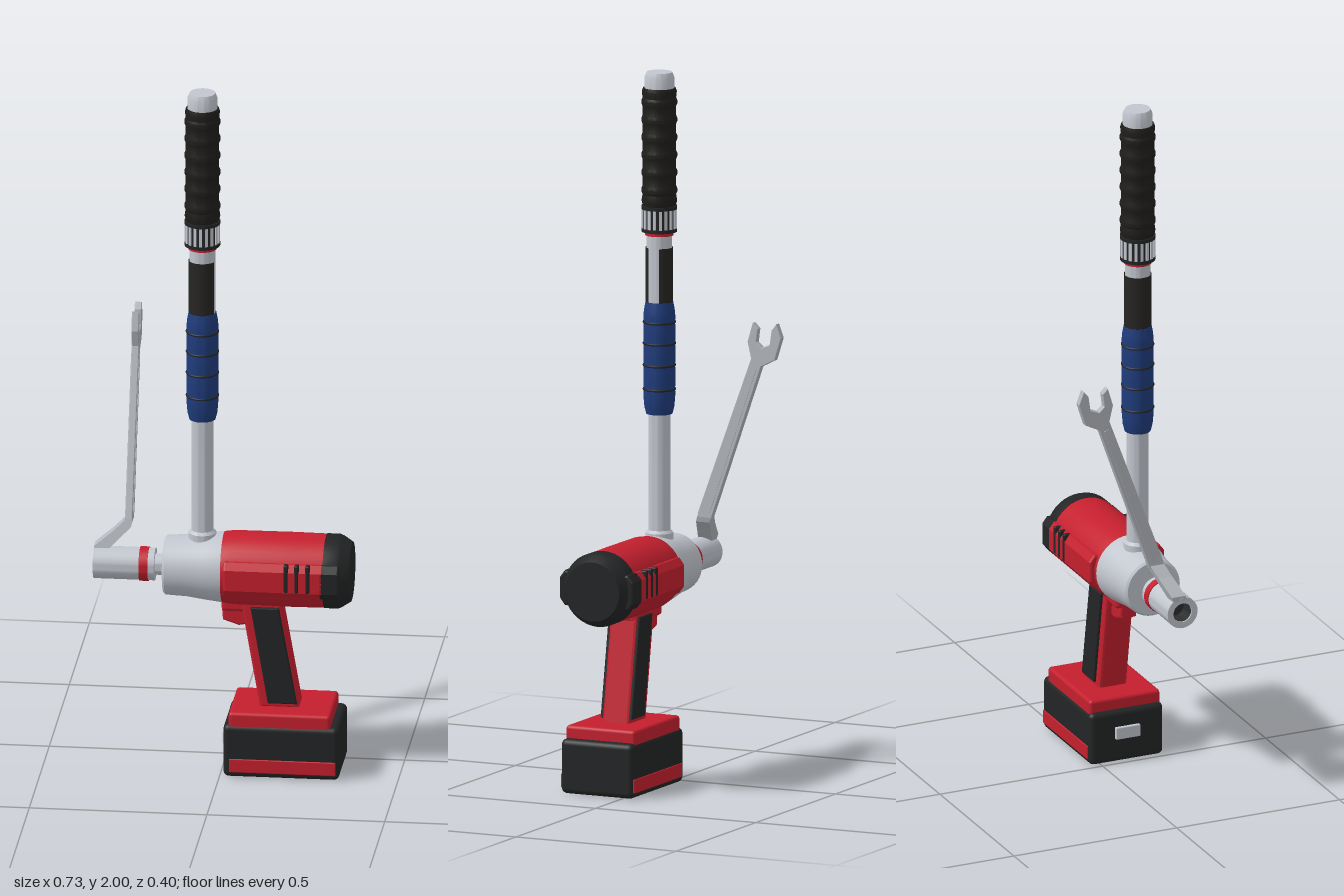
import * as THREE from 'three';
import { toCreasedNormals } from 'three/addons/utils/BufferGeometryUtils.js';
import { RoundedBoxGeometry } from 'three/addons/geometries/RoundedBoxGeometry.js';

const mat = (name, color, side = THREE.FrontSide) => {
  const m = new THREE.MeshStandardMaterial({ color, side });
  m.name = name;
  return m;
};

export function createModel() {
  const red = mat('red plastic', 0xc41f2e);
  const grey = mat('light grey metal', 0xc2c6ce);
  const armGrey = mat('arm grey metal', 0xb4b8be);
  const black = mat('black plastic', 0x232425);
  const rubber = mat('grip rubber', 0x1f1e1b);
  const blue = mat('blue grip', 0x1f3c7c);

  const root = new THREE.Group();
  root.name = 'torqueTool';
  const CY = 0.59, CZ = 0.08, TX = -0.06;

  const add = (name, geo, material, x = 0, y = 0, z = 0, parent = root) => {
    const m = new THREE.Mesh(geo, material);
    m.name = name;
    m.position.set(x, y, z);
    parent.add(m);
    return m;
  };
  // Turned part: points are [radius, distance along the axis]
  const lathe = (pts, seg = 40) => toCreasedNormals(
    new THREE.LatheGeometry(pts.map(p => new THREE.Vector2(p[0], p[1])), seg), 0.5);
  const turnedX = (name, pts, material) => {
    const m = add(name, lathe(pts), material, 0, CY, CZ);
    m.rotation.z = -Math.PI / 2;
    return m;
  };
  const turnedY = (name, pts, material) => add(name, lathe(pts), material, TX, 0, CZ);
  const extrude = (pts, depth, bevel = 0) => {
    const g = new THREE.ExtrudeGeometry(
      new THREE.Shape(pts.map(p => new THREE.Vector2(p[0], p[1]))),
      { depth: depth - 2 * bevel, bevelEnabled: bevel > 0, bevelSize: bevel,
        bevelThickness: bevel, bevelOffset: -bevel, bevelSegments: 2 });
    return g.translate(0, 0, bevel - depth / 2);
  };
  const box = (w, h, d, r) => new RoundedBoxGeometry(w, h, d, 3, r);

  // Motor housing along x
  turnedX('motorHousing', [[0, 0], [0.1, 0], [0.104, 0.03], [0.105, 0.2], [0.104, 0.29], [0, 0.29]], red);
  turnedX('rearCap', [[0, 0.288], [0.105, 0.288], [0.105, 0.325], [0.101, 0.335], [0.084, 0.361], [0, 0.361]], black);
  turnedX('gearNose', [[0, -0.166], [0.078, -0.166], [0.084, -0.16], [0.087, -0.1],
    [0.094, -0.05], [0.1, 0], [0.1, 0.009], [0, 0.009]], grey);
  turnedX('driveNeck', [[0.03, -0.2], [0.03, -0.16]], grey);
  turnedX('socket', [[0, -0.31], [0.028, -0.31], [0.028, -0.364], [0.046, -0.364],
    [0.046, -0.192], [0, -0.192]], grey);
  turnedX('socketBore', [[0, -0.311], [0.0275, -0.311], [0.0275, -0.36]], black).material = mat('bore black', 0x2c2d2f, THREE.DoubleSide);
  turnedX('socketBand', [[0.045, -0.235], [0.0485, -0.235], [0.0485, -0.21], [0.045, -0.21]], red);

  // Raised flanks on both sides of the housing
  const flank = len => extrude([[-0.115, -0.03], [-0.1, -0.05], [0.1, -0.05], [0.115, -0.03],
    [0.115, 0.03], [0.1, 0.05], [-0.1, 0.05], [-0.115, 0.03]], len, 0.006).rotateY(Math.PI / 2);
  add('sideFlanks', flank(0.282), red, 0.151, CY, CZ);
  add('rearFlanks', flank(0.06), black, 0.306, CY, CZ);
  for (const s of [-1, 1]) for (const x of [0.187, 0.217, 0.248])
    add('vent', box(0.013, 0.082, 0.022, 0.005), black, x, 0.601, CZ + s * 0.106);

  // Pistol handle
  add('handle', extrude([[0.055, 0.52], [0.165, 0.52], [0.165, 0.485], [0.217, 0.19], [0.106, 0.19], [0.055, 0.485]], 0.085, 0.008), red, 0, 0, CZ);
  for (const s of [-1, 1])
    add('handlePanel', extrude([[0.08, 0.489], [0.16, 0.489], [0.211, 0.205], [0.129, 0.205]], 0.016, 0.004),
      black, 0, 0, CZ + s * 0.042);
  add('triggerGuard', box(0.17, 0.04, 0.08, 0.012), red, 0.082, 0.49, CZ);
  add('trigger', extrude([[-0.005, 0.5], [0.065, 0.5], [0.07, 0.43], [0.045, 0.425], [0, 0.44]], 0.05, 0.006), red, 0, 0, CZ);

  // Battery
  add('batteryMount', box(0.287, 0.05, 0.217, 0.01), red, 0.168, 0.17, CZ);
  add('battery', box(0.326, 0.155, 0.226, 0.016), black, 0.173, 0.082, CZ);
  for (const s of [-1, 1])
    add('batteryStripe', box(0.3, 0.04, 0.008, 0.003), red, 0.177, 0.04, CZ + s * 0.112);
  add('batteryLatch', box(0.012, 0.036, 0.075, 0.003), grey, 0.007, 0.093, CZ);

  // Upright tube
  turnedY('tubeCollar', [[0.039, 0.66], [0.039, 0.692], [0.032, 0.7]], grey);
  turnedY('uprightTube', [[0.031, 0.65], [0.031, 1.04]], grey);
  turnedY('scaleTube', [[0.036, 1.33], [0.036, 1.56]], grey);

  // Blue sleeve with dark grooves
  const sleeve = [[0.03, 1.028], [0.037, 1.03], [0.042, 1.05]];
  const rings = [1.1, 1.168, 1.23, 1.29];
  for (const y of rings) sleeve.push([0.045, y - 0.014], [0.044, y], [0.045, y + 0.014]);
  sleeve.push([0.043, 1.325], [0.039, 1.347], [0.03, 1.349]);
  turnedY('blueSleeve', sleeve, blue);
  for (const y of rings)
    add('sleeveRing', new THREE.TorusGeometry(0.0435, 0.0035, 8, 36).rotateX(Math.PI / 2), black, TX, y, CZ);

  // Wrapped dark scale, open toward +x
  add('scalePlate', new THREE.CylinderGeometry(0.0385, 0.0385, 0.155, 36, 1, true,
    Math.PI / 2 + 0.45, Math.PI * 2 - 0.9), mat('scale black', 0x262523, THREE.DoubleSide), TX, 1.425, CZ);
  turnedY('redRing', [[0.03, 1.537], [0.04, 1.537], [0.04, 1.55], [0.03, 1.55]], red);

  // Knurled adjusting collar
  turnedY('adjustCollar', [[0.03, 1.548], [0.046, 1.548], [0.046, 1.62], [0.03, 1.62]], black);
  for (const y of [1.552, 1.616])
    turnedY('collarRim', [[0.04, y - 0.005], [0.05, y - 0.005], [0.05, y + 0.005], [0.04, y + 0.005]], black);
  for (let i = 0; i < 18; i++) {
    const a = i * Math.PI / 9;
    add('collarRib', new THREE.BoxGeometry(0.008, 0.054, 0.008), grey,
      TX + Math.sin(a) * 0.0455, 1.584, CZ + Math.cos(a) * 0.0455).rotation.y = a;
  }

  // Ribbed top grip and end cap
  const grip = [[0.03, 1.62], [0.046, 1.621], [0.05, 1.635]];
  for (let i = 0; i < 6; i++) {
    const y = 1.665 + i * 0.05;
    grip.push([0.047, y - 0.012], [0.0505, y - 0.004], [0.0505, y + 0.004], [0.047, y + 0.012]);
  }
  grip.push([0.049, 1.945], [0.046, 1.955], [0.03, 1.956]);
  turnedY('topGrip', grip, rubber);
  turnedY('endCap', [[0.042, 1.95], [0.042, 1.985], [0.036, 2], [0, 2]], grey);

  // Reaction arm: straight blade with an open fork
  const blade = [[-0.061, 0.715], [-0.019, 0.7], [0.137, 1.146], [0.18, 1.168], [0.2, 1.232], [0.185, 1.271],
    [0.17, 1.253], [0.164, 1.211], [0.138, 1.2], [0.122, 1.215], [0.127, 1.253],
    [0.111, 1.269], [0.095, 1.215], [0.106, 1.168]];
  add('armBlade', extrude(blade, 0.02, 0.002).rotateY(Math.PI / 2), armGrey, -0.27, 0, 0);
  add('armRidge', extrude([[-0.04, 0.725], [-0.022, 0.72], [0.124, 1.14], [0.11, 1.145]], 0.024)
    .rotateY(Math.PI / 2), armGrey, -0.27, 0, 0);

  // Bent foot joining the blade to the socket, sheared along the blade's lean
  const foot = extrude([[-0.364, 0.625], [-0.33, 0.625], [-0.29, 0.665], [-0.264, 0.69],
    [-0.26, 0.705], [-0.26, 0.735], [-0.28, 0.735], [-0.281, 0.71], [-0.31, 0.682], [-0.364, 0.64]], 0.042);
  const p = foot.attributes.position;
  for (let i = 0; i < p.count; i++)
    p.setZ(i, p.getZ(i) + 0.04 + (-0.28 - p.getX(i)) * 0.05 - (p.getY(i) - 0.71) * 0.345);
  foot.computeVertexNormals();
  add('armFoot', foot, armGrey);

  return root;
}
